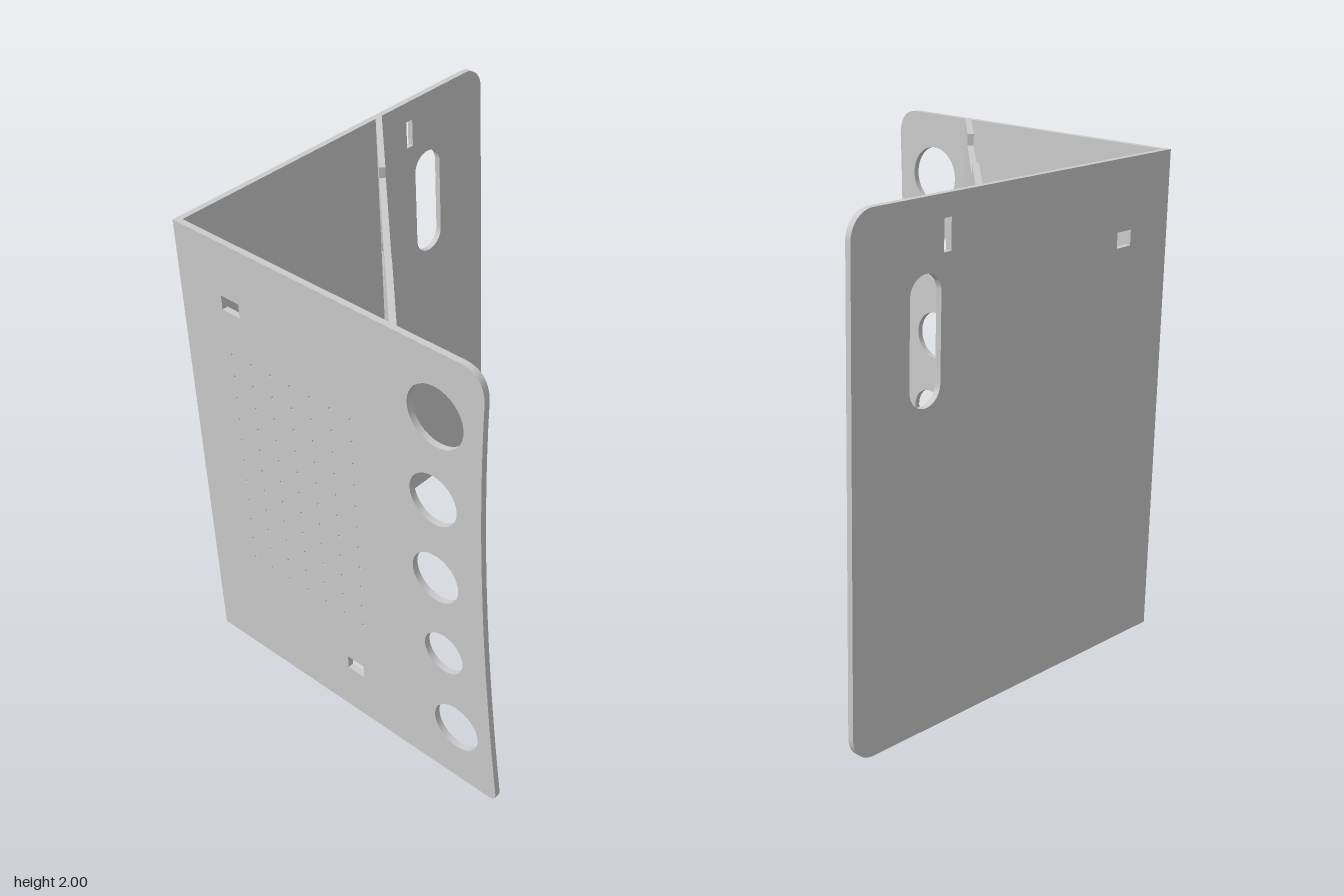
import * as THREE from 'three';
import { toCreasedNormals } from 'three/addons/utils/BufferGeometryUtils.js';

const T = 0.025; // sheet thickness
const material = new THREE.MeshStandardMaterial({ color: 0xcccccc });

// Hole helpers
const rectHole = (x0, y0, x1, y1) => new THREE.Path([
  new THREE.Vector2(x0, y0), new THREE.Vector2(x0, y1),
  new THREE.Vector2(x1, y1), new THREE.Vector2(x1, y0), new THREE.Vector2(x0, y0)]);

const roundHole = (x, y, r) => new THREE.Path().absarc(x, y, r, 0, Math.PI * 2, true);

// Tiny drilled hole with few sides
function pinHole(x, y, r) {
  const pts = [];
  for (let i = 0; i <= 8; i++) {
    const a = -i * Math.PI / 4;
    pts.push(new THREE.Vector2(x + r * Math.cos(a), y + r * Math.sin(a)));
  }
  return new THREE.Path(pts);
}

// Vertical slot with round ends
function slotHole(x, y0, y1, r) {
  const p = new THREE.Path();
  p.absarc(x, y1 - r, r, Math.PI, 0, true);
  p.absarc(x, y0 + r, r, 0, -Math.PI, true);
  p.closePath();
  return p;
}

// Extruded sheet; ends listed in mitres are cut at 45 degrees on the inner face
function sheet(name, shape, innerZ, mitres) {
  let geo = new THREE.ExtrudeGeometry(shape, { depth: T, bevelEnabled: false, curveSegments: 16 });
  const pos = geo.attributes.position;
  for (let i = 0; i < pos.count; i++) {
    if (Math.abs(pos.getZ(i) - innerZ) > 1e-4) continue;
    for (const [end, dir] of mitres) {
      if (Math.abs(pos.getX(i) - end) < 1e-4) pos.setX(i, end + dir * T);
    }
  }
  geo = toCreasedNormals(geo, 0.5);
  const mesh = new THREE.Mesh(geo, material);
  mesh.name = name;
  return mesh;
}

// Back sheet with two rounded corners, handle slot and cable openings
function backPanel() {
  const x0 = -0.833, x1 = 0.833, r = 0.1;
  const s = new THREE.Shape();
  s.moveTo(x0, 0);
  s.lineTo(x1 - r, 0);
  s.absarc(x1 - r, r, r, -Math.PI / 2, 0, false);
  s.absarc(x1 - r, 2 - r, r, 0, Math.PI / 2, false);
  s.lineTo(x0, 2);
  s.closePath();
  s.holes.push(
    slotHole(0.49, 1.26, 1.737, 0.075),
    rectHole(0.37, 1.797, 0.405, 1.915),
    rectHole(-0.61, 1.658, -0.53, 1.72));
  const mesh = sheet('backPanel', s, T, [[x0, 1]]);
  mesh.position.z = -0.755;
  return mesh;
}

// Side sheet with curved front edge, round openings and a perforated field
function sidePanel() {
  const z0 = -0.755;
  const s = new THREE.Shape();
  s.moveTo(z0, 0);
  s.lineTo(0.72, 0);
  s.quadraticCurveTo(0.757, 0, 0.755, 0.04);
  s.bezierCurveTo(0.70, 0.62, 0.665, 1.25, 0.702, 1.89);
  s.quadraticCurveTo(0.70, 2, 0.60, 2);
  s.lineTo(z0, 2);
  s.closePath();
  const rounds = [[0.488, 1.73, 0.125], [0.47, 1.363, 0.108], [0.472, 1.0, 0.108],
    [0.504, 0.64, 0.092], [0.56, 0.277, 0.107]];
  for (const [z, y, r] of rounds) s.holes.push(roundHole(z, y, r));
  s.holes.push(rectHole(-0.535, 1.71, -0.445, 1.77), rectHole(-0.01, 0.22, 0.075, 0.28));
  for (let i = 0; i < 7; i++) {
    for (let j = 0; j < 11; j++) s.holes.push(pinHole(-0.51 + i * 0.1, 0.52 + j * 0.1, 0.006));
  }
  const mesh = sheet('sidePanel', s, 0, [[z0, 1]]);
  mesh.rotation.y = -Math.PI / 2;
  mesh.position.x = -0.833 + T;
  return mesh;
}

// Diagonal mounting sheet; k converts x on its front face to distance along it
function diagonalPanel() {
  const k = (x) => Math.SQRT2 * (x + 0.25);
  const a = k(-0.808), b = k(0.23);
  const s = new THREE.Shape([
    [a, 0], [k(-0.465), 0], [k(-0.465), 0.05], [k(-0.12), 0.05], [k(-0.12), 0], [b, 0],
    [b, 2], [k(-0.065), 2], [k(-0.065), 1.955], [k(-0.52), 1.955], [k(-0.52), 2], [a, 2],
  ].map(([x, y]) => new THREE.Vector2(x, y)));
  // Rectangular cut-outs
  const cuts = [[-0.61, 1.605, -0.44, 1.737], [-0.19, 1.545, 0.035, 1.727],
    [-0.65, 0.278, -0.522, 0.415], [-0.307, 0.24, -0.183, 0.487]];
  for (const [x0, y0, x1, y1] of cuts) s.holes.push(rectHole(k(x0), y0, k(x1), y1));
  // Screw holes around the upper cut-out
  for (const x of [-0.21, -0.077, 0.056]) {
    for (const y of [1.5, 1.777]) s.holes.push(pinHole(k(x), y, 0.012));
  }
  // Small mounting holes
  const pins = [[-0.16, 1.203], [-0.58, 1.037], [-0.373, 0.968], [-0.24, 0.84], [-0.587, 0.675]];
  for (const [x, y] of pins) s.holes.push(pinHole(k(x), y, 0.006));
  const mesh = sheet('diagonalPanel', s, 0, [[a, 1], [b, -1]]);
  mesh.rotation.y = Math.PI / 4;
  const c = -0.25 - T / Math.SQRT2;
  mesh.position.set(c, 0, c);
  return mesh;
}

export function createModel() {
  const group = new THREE.Group();
  group.name = 'foldedPanelStand';
  group.add(backPanel(), sidePanel(), diagonalPanel());
  return group;
}
